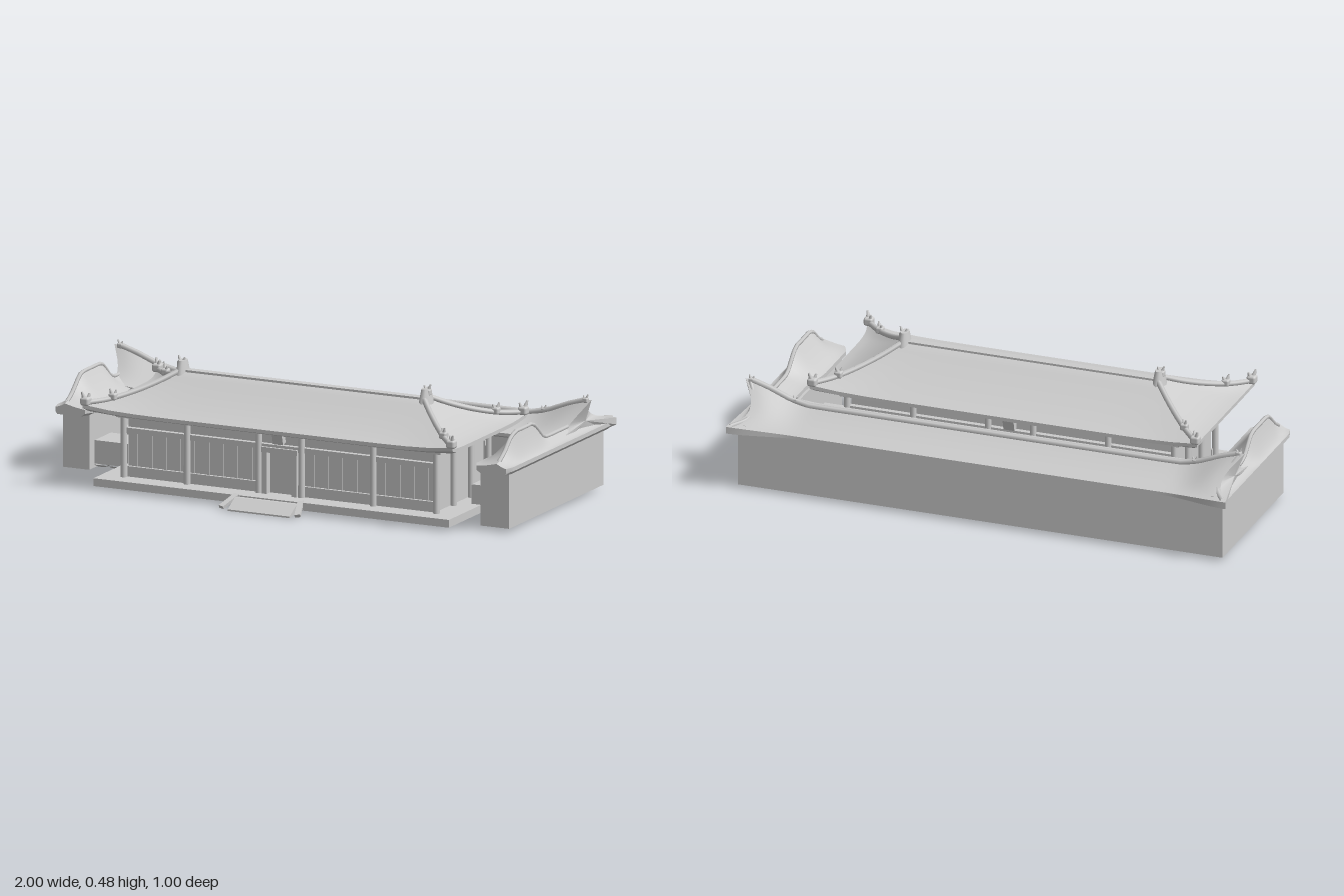
import * as THREE from 'three';
import { toCreasedNormals } from 'three/addons/utils/BufferGeometryUtils.js';
import { RoundedBoxGeometry } from 'three/addons/geometries/RoundedBoxGeometry.js';

const grey = new THREE.MeshStandardMaterial({ color: 0xcccccc, side: THREE.DoubleSide });
const greyOneSided = new THREE.MeshStandardMaterial({ color: 0xcccccc });
const CX = 0.015, CZ = 0.145; // centre of the main hall roof
const V = (x, y, z) => new THREE.Vector3(x, y, z);
const smooth = THREE.MathUtils.smoothstep;

function add(parent, name, geometry, material = grey) {
  const m = new THREE.Mesh(geometry, material);
  m.name = name;
  parent.add(m);
  return m;
}

// box given by its limits
function box(parent, name, x0, x1, y0, y1, z0, z1) {
  const m = add(parent, name, new THREE.BoxGeometry(x1 - x0, y1 - y0, z1 - z0));
  m.position.set((x0 + x1) / 2, (y0 + y1) / 2, (z0 + z1) / 2);
  return m;
}

function tube(parent, name, pts, r) {
  return add(parent, name, new THREE.TubeGeometry(new THREE.CatmullRomCurve3(pts), 24, r, 6));
}

// skin over closed loops of equal length, with both ends capped
function loft(loops) {
  const n = loops[0].length, pos = [], index = [];
  loops.forEach(l => l.forEach(p => pos.push(p.x, p.y, p.z)));
  for (let i = 0; i < loops.length - 1; i++)
    for (let j = 0; j < n; j++) {
      const a = i * n + j, b = i * n + (j + 1) % n;
      index.push(a, a + n, b, b, a + n, b + n);
    }
  [0, loops.length - 1].forEach((k, end) => {
    const c = loops[k].reduce((s, p) => s.add(p), V(0, 0, 0)).divideScalar(n);
    const ci = pos.length / 3;
    pos.push(c.x, c.y, c.z);
    for (let j = 0; j < n; j++) {
      const a = k * n + j, b = k * n + (j + 1) % n;
      if (end) index.push(ci, b, a); else index.push(ci, a, b);
    }
  });
  const g = new THREE.BufferGeometry();
  g.setAttribute('position', new THREE.Float32BufferAttribute(pos, 3));
  g.setIndex(index);
  return toCreasedNormals(g, 0.6);
}

// roof finial: rounded base with a pair of short horns along (dx, dz)
function finial(parent, p, dx, dz, s) {
  const g = new THREE.Group();
  g.name = 'roofFinial';
  const base = add(g, 'finialBase', new RoundedBoxGeometry(s, s * 0.9, s, 2, s * 0.25));
  base.position.y = s * 0.2;
  [-1, 1].forEach(k => {
    const h = add(g, 'finialHorn', new THREE.CylinderGeometry(s * 0.1, s * 0.26, s * 0.8, 6));
    h.position.set(dx * s * 0.3 * k, s * (k > 0 ? 0.85 : 0.65), dz * s * 0.3 * k);
    h.rotation.set(dz * 0.35 * k, 0, -dx * 0.35 * k);
  });
  g.position.copy(p);
  parent.add(g);
}

// concave hip roof of the main hall
const hipHalfX = t => 0.51 + 0.25 * t, hipHalfZ = t => 0.02 + 0.275 * t;
const hipY = t => 0.312 + 0.113 * Math.pow(1 - t, 1.45);
function hipRing(t, y, lift) {
  const N = 16, pts = [], corners = [[-1, -1], [-1, 1], [1, 1], [1, -1]];
  corners.forEach(([ax, az], c) => {
    const [bx, bz] = corners[(c + 1) % 4];
    for (let i = 0; i < N; i++) {
      const k = i / N, u = ax + (bx - ax) * k, w = az + (bz - az) * k;
      const e = Math.pow(Math.abs(2 * k - 1), 8) * t * t; // corners sweep up and out
      pts.push(V(CX + u * (hipHalfX(t) + 0.015 * e), y + lift * e, CZ + w * (hipHalfZ(t) + 0.015 * e)));
    }
  });
  return pts;
}

function mainHall() {
  const g = new THREE.Group();
  g.name = 'mainHall';
  box(g, 'platform', CX - 0.745, CX + 0.745, 0.015, 0.045, -0.13, 0.425);
  box(g, 'hallCore', CX - 0.645, CX + 0.645, 0.04, 0.3, -0.065, 0.33);
  box(g, 'eaveBeam', CX - 0.68, CX + 0.68, 0.275, 0.305, -0.1, 0.365);

  // front and back share the same bays, posts and door
  [[0.33, 1], [-0.065, -1]].forEach(([z, s]) => {
    const slab = (name, x0, x1, y0, y1, d) =>
      box(g, name, CX + x0, CX + x1, y0, y1, Math.min(z, z + s * d), Math.max(z, z + s * d));
    [-0.655, -0.39, -0.09, 0.09, 0.39, 0.655].forEach(x => {
      const post = add(g, 'post', new THREE.CylinderGeometry(0.012, 0.013, 0.25, 10));
      post.position.set(CX + x, 0.165, z + s * 0.02);
    });
    slab('lintel', -0.65, 0.65, 0.215, 0.235, 0.02);
    [-1, 1].forEach(m => {
      slab('sill', m > 0 ? 0.09 : -0.65, m > 0 ? 0.65 : -0.09, 0.045, 0.085, 0.012);
      for (let i = 0; i < 9; i++) slab('mullion', m * (0.13 + i * 0.06) - 0.004, m * (0.13 + i * 0.06) + 0.004, 0.08, 0.22, 0.004);
      slab('doorJamb', m * 0.063 - 0.01, m * 0.063 + 0.01, 0.045, 0.22, 0.03);
    });
    slab('doorHead', -0.075, 0.075, 0.205, 0.225, 0.03);
    const plaque = slab('plaque', -0.022, 0.022, 0.245, 0.29, 0.025);
    plaque.position.z += s * 0.02;
    plaque.rotation.x = s * 0.25;
  });
  [-1, 1].forEach(m => {
    for (let i = 0; i < 4; i++) {
      const post = add(g, 'sidePost', new THREE.CylinderGeometry(0.012, 0.013, 0.25, 10));
      post.position.set(CX + m * 0.655, 0.165, -0.085 + i * 0.145);
    }
  });

  const rings = [];
  for (let i = 0; i <= 10; i++) rings.push(hipRing(i / 10, hipY(i / 10), 0.02));
  rings.push(hipRing(1, 0.298, 0.02), hipRing(0.94, 0.292, 0.015), hipRing(0.6, 0.3, 0));
  add(g, 'hallRoof', loft(rings));

  box(g, 'hallRidge', CX - 0.51, CX + 0.51, 0.41, 0.433, CZ - 0.017, CZ + 0.017);
  [-1, 1].forEach(mx => {
    // tapered block closing the ridge, with horns on top
    const stop = add(g, 'ridgeStop', new THREE.CylinderGeometry(0.026, 0.045, 0.065, 12));
    stop.scale.x = 0.6;
    stop.position.set(CX + mx * 0.51, 0.435, CZ);
    finial(g, V(CX + mx * 0.515, 0.447, CZ), mx, 0, 0.03);
    [-1, 1].forEach(mz => {
      const hip = t => V(CX + mx * (hipHalfX(t) + 0.015 * t * t), hipY(t) + 0.006 + 0.02 * t * t,
        CZ + mz * (hipHalfZ(t) + 0.015 * t * t));
      tube(g, 'hipRidge', [0, 0.25, 0.5, 0.75, 1].map(hip), 0.011);
      finial(g, hip(0.7), mx * 0.7, mz * 0.7, 0.03);
      finial(g, hip(0.97), mx * 0.7, mz * 0.7, 0.036);
    });
  });

  // front steps
  const steps = new THREE.Shape();
  [[0.41, 0.04], [0.41, 0.012], [0.46, 0.006], [0.5, 0], [0.5, 0.006], [0.44, 0.04]]
    .forEach(([z, y], i) => i ? steps.lineTo(z, y) : steps.moveTo(z, y));
  const st = add(g, 'steps', new THREE.ExtrudeGeometry(steps, { depth: 0.26, bevelEnabled: false }));
  st.rotation.y = -Math.PI / 2;
  st.position.x = 0.13;
  [-1, 1].forEach(m => {
    const curb = box(g, 'stepCurb', -0.011, 0.011, -0.006, 0.006, -0.045, 0.045);
    curb.position.set(m * 0.147, 0.027, 0.455);
    curb.rotation.set(0.4, m * 0.3, 0);
  });
  return g;
}

// gable cross-section: runs a and b either side of the ridge, each with its own hollow
function gable(a, b, eave, ridge, base, powerA, powerB) {
  const pts = [];
  for (let i = -8; i <= 8; i++) {
    const s = i / 8, power = s < 0 ? powerA : powerB;
    pts.push([s * (s < 0 ? a : b), eave + (ridge - eave) * Math.pow(1 - Math.abs(s), power)]);
  }
  pts.push([b, base + 0.012], [b * 0.8, base], [-a * 0.8, base], [-a, base + 0.012]);
  return pts;
}

function backHall() {
  const g = new THREE.Group();
  g.name = 'backHall';
  box(g, 'backHallWalls', -0.97, 0.97, 0.015, 0.24, -0.448, -0.17);
  const flare = x => smooth(Math.abs(x), 0.74, 1);
  const ridgeY = x => 0.305 + 0.075 * flare(x);
  const loops = [];
  for (let i = -30; i <= 30; i++) {
    const x = i / 30, e = flare(x);
    // the end edge is pulled in half way down the slope
    loops.push(gable(0.17 + 0.04 * e, 0.15, 0.252 + 0.015 * e, ridgeY(x), 0.228, 1.8, 1.8)
      .map(([z, y]) => V(x * (1 - 0.055 * e * Math.sin(Math.PI * Math.min(1, Math.abs(z) / 0.2))), y, z - 0.29)));
  }
  add(g, 'backHallRoof', loft(loops));
  const xs = Array.from({ length: 21 }, (_, i) => (i - 10) / 10.2);
  tube(g, 'backHallRidge', xs.map(x => V(x, ridgeY(x), -0.29)), 0.012);
  [-1, 1].forEach(m => {
    finial(g, V(m * 0.975, 0.372, -0.29), m, 0, 0.022);
    finial(g, V(m * 0.8, ridgeY(0.8), -0.29), m, 0, 0.02);
    tube(g, 'gableRidge', [[0.98, 0.375, -0.29], [0.94, 0.31, -0.35], [0.94, 0.278, -0.42], [0.985, 0.268, -0.49]]
      .map(([x, y, z]) => V(m * x, y, z)), 0.009);
  });
  return g;
}

// side wing: m is its side, end its front edge; the crest sits near the outer wall
function wing(m, end) {
  const g = new THREE.Group();
  g.name = m > 0 ? 'leftWing' : 'rightWing';
  const [x0, x1] = m > 0 ? [0.85, 0.97] : [-0.97, -0.86];
  box(g, 'wingWalls', x0, x1, 0.015, 0.24, -0.3, end - 0.045);
  const crest = 0.94, back = end - 0.41;
  // low behind, rising to a flat-topped hump near the front
  const ridge = z => 0.27 + 0.018 * smooth(z, -0.46, -0.3) - 0.016 * smooth(z, end - 0.06, end)
    + 0.075 * smooth(z, back, back + 0.12) * (1 - smooth(z, end - 0.15, end - 0.03));
  const loops = [], N = 40, start = -0.47;
  for (let i = 0; i <= N; i++) {
    const z = start + (end - start) * i / N;
    const inner = 0.08 + 0.025 * smooth(z, back, back + 0.15), tip = 1 - 0.2 * smooth(z, end - 0.04, end);
    loops.push(gable(0.05 * tip, inner * tip, 0.256, ridge(z), 0.228, 1.7, 1.4)
      .map(([x, y]) => V(m * (crest - x), y, z)));
  }
  add(g, 'wingRoof', loft(loops));
  const zs = Array.from({ length: 15 }, (_, i) => -0.28 + (end + 0.26) * i / 14);
  tube(g, 'wingRidge', zs.map(z => V(m * crest, ridge(z), z)), 0.008);
  return g;
}

// low walkways linking the hall to a wing, over a quilted underside that faces down
function walkways(m) {
  const g = new THREE.Group();
  g.name = 'walkways';
  const x0 = Math.min(m * 0.72, m * 0.86), x1 = Math.max(m * 0.72, m * 0.86);
  [[-0.17, -0.07], [0.02, 0.155]].forEach(([z0, z1]) => box(g, 'walkwayBlock', x0, x1, 0.03, 0.12, z0, z1));
  const quilt = new THREE.PlaneGeometry(0.18, 0.33, 18, 32).rotateX(Math.PI / 2);
  const p = quilt.attributes.position;
  for (let i = 0; i < p.count; i++) {
    const u = (p.getX(i) / 0.18 + 0.5) * 3, w = (p.getZ(i) / 0.33 + 0.5) * 4;
    p.setY(i, -0.014 * Math.sqrt(Math.abs(Math.sin(Math.PI * u) * Math.sin(Math.PI * w))));
  }
  quilt.computeVertexNormals();
  add(g, 'walkwayUnderside', quilt, greyOneSided).position.set(m * 0.78, 0.026, -0.008);
  return g;
}

export function createModel() {
  const model = new THREE.Group();
  model.name = 'courtyardHall';
  model.add(mainHall(), backHall(), wing(1, 0.385), wing(-1, 0.245), walkways(1), walkways(-1));
  return model;
}
